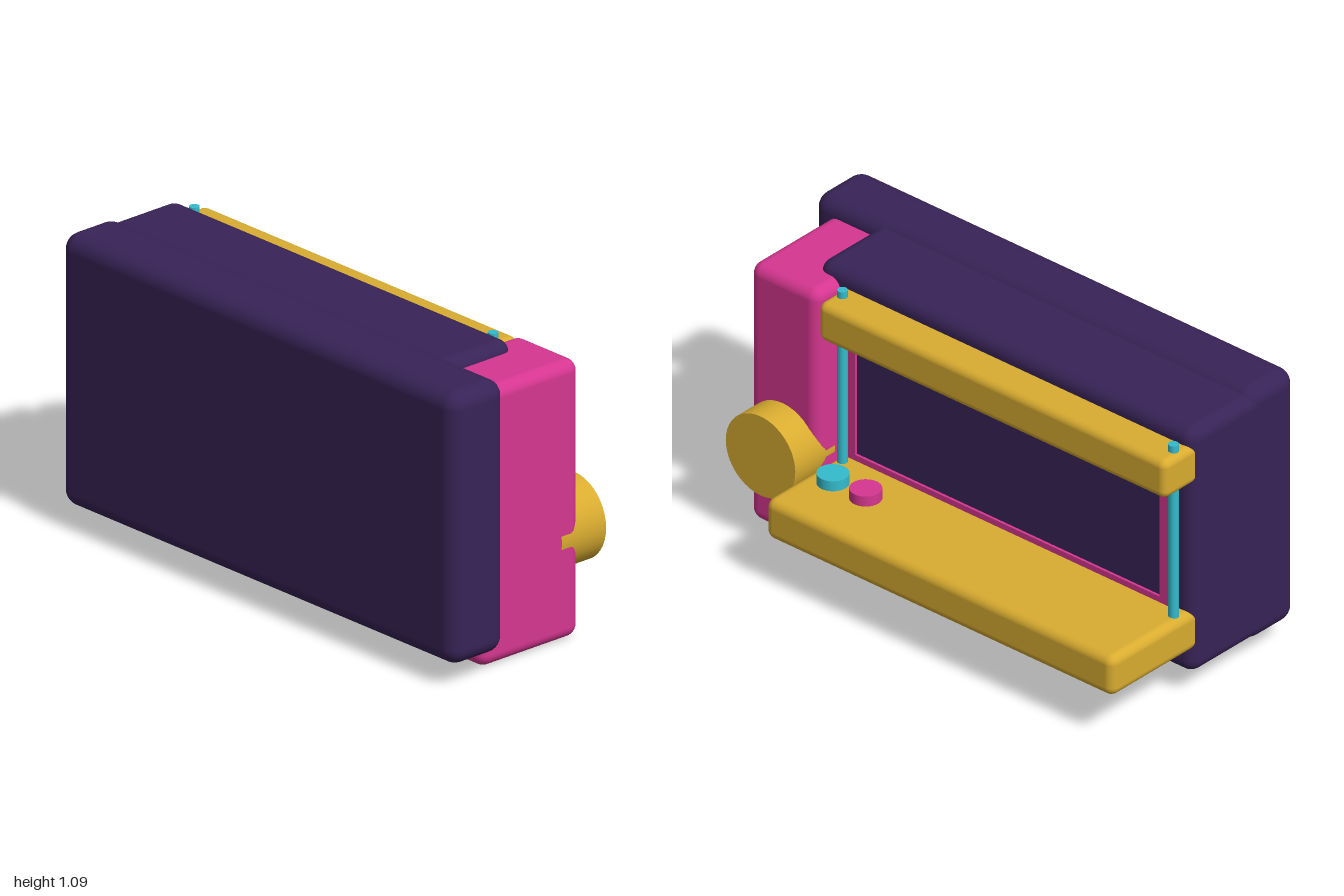
import * as THREE from 'three';
import { RoundedBoxGeometry } from 'three/addons/geometries/RoundedBoxGeometry.js';

const material = (name, color) => {
  const m = new THREE.MeshStandardMaterial({ color });
  m.name = name;
  return m;
};

export function createModel() {
  const purple = material('deep purple', 0x382357);
  const pink = material('magenta', 0xd63690);
  const gold = material('gold', 0xd9ac30);
  const cyan = material('cyan', 0x35bccd);
  const model = new THREE.Group();

  const add = (name, geometry, mat, x = 0, y = 0, z = 0) => {
    const mesh = new THREE.Mesh(geometry, mat);
    mesh.name = name;
    mesh.position.set(x, y, z);
    model.add(mesh);
    return mesh;
  };

  // Rounded box given by its limits on each axis
  const block = (name, mat, [x0, x1], [y0, y1], [z0, z1], radius) =>
    add(name, new RoundedBoxGeometry(x1 - x0, y1 - y0, z1 - z0, 4, radius), mat,
      (x0 + x1) / 2, (y0 + y1) / 2, (z0 + z1) / 2);

  // Housing
  block('frontPanel', purple, [-1, 1], [0.08, 1.09], [0.22, 0.47], 0.06);
  block('mainBody', purple, [-0.998, 0.72], [0.09, 1.07], [-0.07, 0.32], 0.05);
  block('sideGrip', pink, [0.61, 0.925], [0, 1.03], [-0.19, 0.27], 0.045);

  // Shelf and upper rail on the back
  block('shelf', gold, [-0.99, 0.6], [0.185, 0.345], [-0.475, 0], 0.035);
  block('upperRail', gold, [-0.99, 0.6], [0.855, 1.008], [-0.203, 0], 0.03);

  // Screen with a thin border
  const rect = (path, x0, x1, y0, y1) =>
    path.moveTo(x0, y0).lineTo(x1, y0).lineTo(x1, y1).lineTo(x0, y1).closePath();
  const border = rect(new THREE.Shape(), -0.91, 0.58, 0.32, 0.94);
  border.holes.push(rect(new THREE.Path(), -0.86, 0.53, 0.368, 0.9));
  add('screenFrame', new THREE.ExtrudeGeometry(border, { depth: 0.025, bevelEnabled: false }),
    pink, 0, 0, -0.085);
  add('screen', new THREE.BoxGeometry(1.39, 0.532, 0.008), purple, -0.165, 0.634, -0.071);

  // Rods joining the shelf and the rail
  for (const x of [-0.953, 0.56]) {
    add('rod', new THREE.CylinderGeometry(0.019, 0.019, 0.76, 12), cyan, x, 0.655, -0.117);
  }

  // Buttons on the shelf
  for (const [x, mat] of [[0.342, pink], [0.492, cyan]]) {
    add('button', new THREE.CylinderGeometry(0.057, 0.057, 0.08, 32), mat, x, 0.345, -0.243);
  }

  // Round knob on the back of the grip
  const knob = add('knob', new THREE.CylinderGeometry(0.159, 0.159, 0.205, 40), gold,
    0.768, 0.368, -0.2025);
  knob.rotation.x = Math.PI / 2;

  return model;
}
